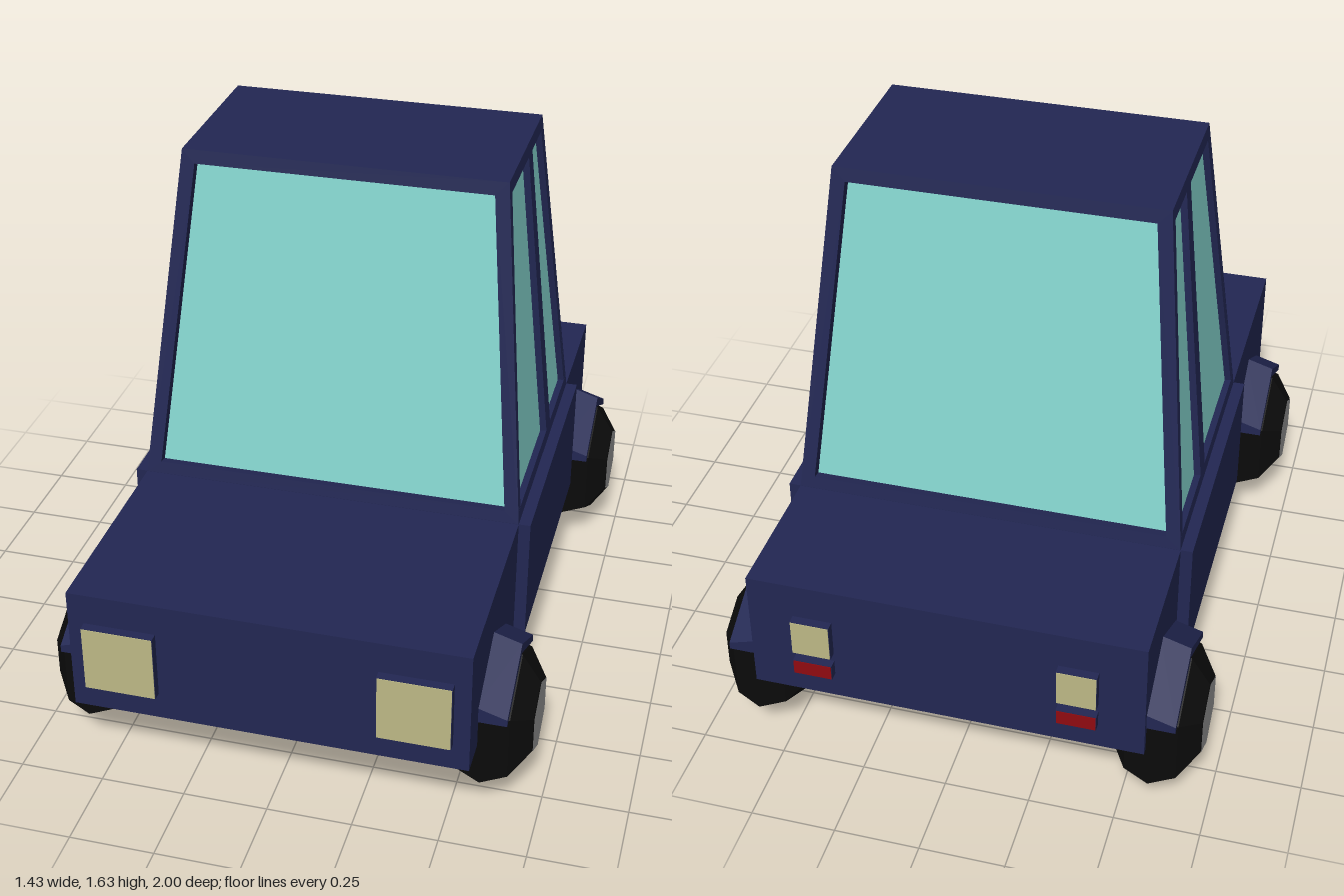
import * as THREE from 'three';

const mat = (color, extra = {}) => {
  const m = new THREE.MeshStandardMaterial({ flatShading: true, ...extra });
  m.color.set(color);
  return m;
};
const paint = mat(0x222753);
const glassMat = mat(0x84d4cd, { side: THREE.DoubleSide });
const rubber = mat(0x0b0b0b);
const metal = mat(0x999999);
const cream = mat(0xbdb986);
const red = mat(0x900a10);

function add(parent, name, geometry, material, x = 0, y = 0, z = 0) {
  const mesh = new THREE.Mesh(geometry, material);
  mesh.name = name;
  mesh.position.set(x, y, z);
  parent.add(mesh);
  return mesh;
}

const box = (parent, name, w, h, d, material, x, y, z) =>
  add(parent, name, new THREE.BoxGeometry(w, h, d), material, x, y, z);

const polygon = (points) => points.map(([x, y]) => new THREE.Vector2(x, y));

// One leaning cabin wall: a framed trapezoid with recessed glass
function cabinWall(name, bottom, top, run, windows, depth) {
  const wall = new THREE.Group();
  wall.name = name;
  const slope = Math.hypot(1, run);
  const shape = new THREE.Shape(polygon([[-bottom, 0], [bottom, 0], [top, slope], [-top, slope]]));
  const lo = 0.037 * slope, hi = 0.96 * slope;
  for (const [b0, b1, t0, t1] of windows) {
    const outline = polygon([[b0, lo], [b1, lo], [t1, hi], [t0, hi]]);
    shape.holes.push(new THREE.Path(outline));
    add(wall, name + 'Glass', new THREE.ShapeGeometry(new THREE.Shape(outline)), glassMat, 0, 0, 0.005 - depth);
  }
  const frame = new THREE.ExtrudeGeometry(shape, { depth, bevelEnabled: false });
  add(wall, name + 'Frame', frame, paint, 0, 0, -depth);
  wall.rotation.x = -Math.atan(run);
  return wall;
}

function createCabin() {
  const cabin = new THREE.Group();
  cabin.name = 'cabin';
  cabin.position.set(0, 0.635, -0.11);
  const place = (wall, distance, turn) => {
    const pivot = new THREE.Group();
    pivot.rotation.y = turn;
    wall.position.z = distance;
    pivot.add(wall);
    cabin.add(pivot);
  };
  // Windscreen and rear window
  const wide = [[-0.53, 0.53, -0.437, 0.437]];
  place(cabinWall('windscreen', 0.575, 0.475, 0.17, wide, 0.035), 0.43, 0);
  place(cabinWall('rearWindow', 0.575, 0.475, 0.17, wide, 0.035), 0.43, Math.PI);
  // Two side windows per side, split by a pillar
  const side = [[-0.413, 0.055, -0.25, 0.025], [0.12, 0.413, 0.08, 0.25]];
  const mirrored = side.map(([b0, b1, t0, t1]) => [-b1, -b0, -t1, -t0]);
  place(cabinWall('leftWindows', 0.43, 0.26, 0.1, side, 0.025), 0.575, Math.PI / 2);
  place(cabinWall('rightWindows', 0.43, 0.26, 0.1, mirrored, 0.025), 0.575, -Math.PI / 2);
  box(cabin, 'roof', 0.95, 0.035, 0.52, paint, 0, 0.9825, 0);
  return cabin;
}

// Chevron mudguard whose outer top edge drops slightly
function fenderGeometry() {
  const shape = new THREE.Shape(polygon([
    [-0.2, 0.1], [0, 0.205], [0.2, 0.1], [0.2, 0.15], [0, 0.265], [-0.2, 0.15],
  ]));
  const g = new THREE.ExtrudeGeometry(shape, { depth: 0.09, bevelEnabled: false }).rotateY(Math.PI / 2);
  const p = g.attributes.position;
  for (let i = 0; i < p.count; i++) {
    const onTop = p.getY(i) + 0.575 * Math.abs(p.getZ(i)) > 0.24;
    if (onTop && p.getX(i) > 0.05) p.setY(i, p.getY(i) - 0.028);
  }
  g.computeVertexNormals();
  return g;
}

// Six-sided tyre with rounded tread, hub plate and mudguard
function createWheel(name, side, z) {
  const wheel = new THREE.Group();
  wheel.name = name;
  wheel.position.set(side * 0.585, 0.235, z);
  wheel.scale.x = side;
  const profile = polygon([
    [0, -0.13], [0.115, -0.13], [0.2, -0.075], [0.231, 0], [0.2, 0.075], [0.115, 0.13], [0, 0.13],
  ]);
  const tyre = new THREE.LatheGeometry(profile, 6, Math.PI / 2).rotateZ(-Math.PI / 2);
  add(wheel, 'tyre', tyre, rubber);
  const hub = new THREE.CircleGeometry(0.114, 6, Math.PI / 2).rotateY(Math.PI / 2);
  add(wheel, 'hub', hub, metal, 0.132);
  add(wheel, 'fender', fenderGeometry(), paint, -0.018);
  return wheel;
}

// Painted housing with a coloured lens on its outer face
function addLamp(parent, name, w, h, x, y, end, lensMat) {
  box(parent, name + 'Housing', w, h, 0.03, paint, x, y, end * 0.983);
  box(parent, name + 'Lens', w - 0.003, h - 0.003, 0.004, lensMat, x, y, end * 0.998);
}

export function createModel() {
  const car = new THREE.Group();
  car.name = 'car';

  box(car, 'body', 1.15, 0.385, 1.944, paint, 0, 0.4425, 0);
  box(car, 'doorPanels', 1.22, 0.387, 0.86, paint, 0, 0.4425, -0.11);
  car.add(createCabin());

  for (const side of [1, -1]) {
    const label = side > 0 ? 'left' : 'right';
    car.add(createWheel(label + 'FrontWheel', side, 0.665));
    car.add(createWheel(label + 'RearWheel', side, -0.755));
    addLamp(car, label + 'Headlight', 0.21, 0.205, side * 0.423, 0.4375, 1, cream);
    addLamp(car, label + 'ReverseLight', 0.115, 0.115, side * 0.385, 0.468, -1, cream);
    addLamp(car, label + 'BrakeLight', 0.115, 0.048, side * 0.385, 0.358, -1, red);
  }
  return car;
}
